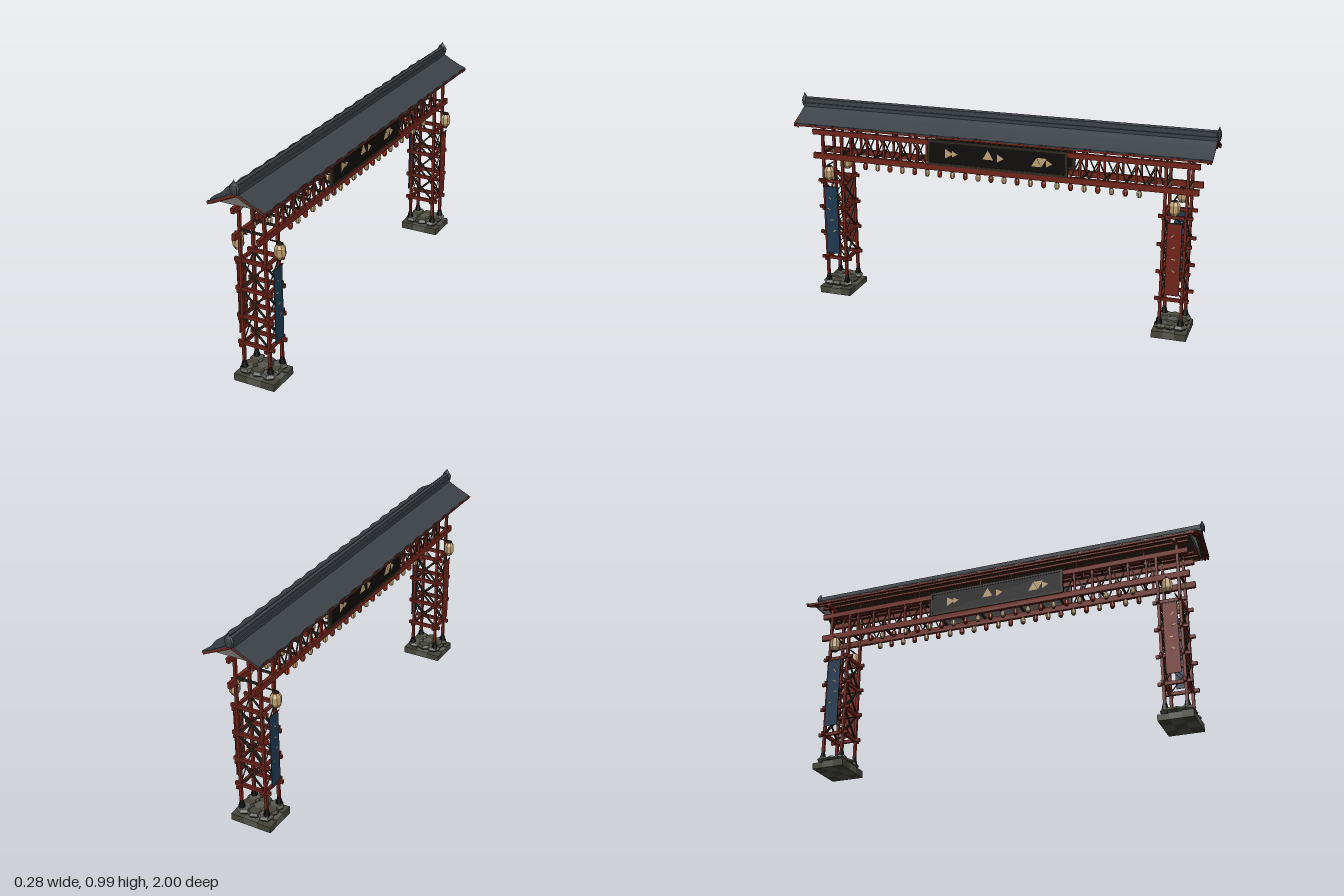
import * as THREE from 'three';

const mat = (name, color) => Object.assign(new THREE.MeshStandardMaterial({ color, flatShading: true }), { name });

export function createModel() {
  const M = {
    slate: mat('slate roof', 0x3b4146),
    red: mat('red timber', 0x702419),
    dark: mat('dark timber', 0x2e271e),
    stone: mat('stone', 0x585a51),
    darkStone: mat('dark stone', 0x45453a),
    cream: mat('cream paper', 0xbfa173),
    blue: mat('blue cloth', 0x1d3850),
    black: mat('black lacquer', 0x0c0a08),
    grey: mat('grey plaster', 0x70716c),
    orange: mat('orange paper', 0x963520),
  };
  const model = new THREE.Group();
  model.name = 'gate';

  const add = (parent, name, geo, m, x = 0, y = 0, z = 0) => {
    const mesh = new THREE.Mesh(geo, m);
    mesh.name = name;
    mesh.position.set(x, y, z);
    parent.add(mesh);
    return mesh;
  };
  const box = (parent, name, m, w, h, d, x, y, z) => add(parent, name, new THREE.BoxGeometry(w, h, d), m, x, y, z);
  // bar between two points, in the parent's own frame
  const up = new THREE.Vector3(0, 1, 0);
  const bar = (parent, name, m, a, b, w, h = w) => {
    const p = new THREE.Vector3(...a), q = new THREE.Vector3(...b);
    const mesh = box(parent, name, m, w, h, p.distanceTo(q), 0, 0, 0);
    mesh.position.copy(p).lerp(q, 0.5);
    mesh.quaternion.setFromRotationMatrix(new THREE.Matrix4().lookAt(q, p, up));
  };
  const group = (name, parent = model) => {
    const g = new THREE.Group();
    g.name = name;
    parent.add(g);
    return g;
  };
  let seed = 7;
  const rand = () => (seed = (seed * 16807) % 2147483647) / 2147483647;

  // paper lantern with dark caps, hung by its middle
  const lantern = (parent, m, r, h, x, y, z) => {
    const g = group('lantern', parent);
    const prof = [[0.6, -0.5], [1, -0.25], [1, 0.25], [0.6, 0.5]].map(([a, b]) => new THREE.Vector2(a * r, b * h));
    add(g, 'lanternBody', new THREE.LatheGeometry(prof, 8), m);
    for (const s of [-1, 1]) add(g, 'lanternCap', new THREE.CylinderGeometry(r * 0.6, r * 0.6, h * 0.06, 8), M.dark, 0, s * h * 0.5, 0);
    box(g, 'lanternCord', M.dark, 0.002, h * 0.2, 0.002, 0, h * 0.6, 0);
    g.position.set(x, y, z);
  };

  // ---- towers (the second is the first turned half round) ----
  for (const end of [0, 1]) {
    const t = group('tower');
    t.rotation.y = end * Math.PI;
    const zo = 0.875, zi = 0.777, zc = 0.828;

    // stacked foundation stones, the upper ones with a bulging six-sided outline
    const stoneProfile = [[0, -0.012], [0.027, -0.012], [0.037, 0], [0.028, 0.012], [0, 0.012]].map(p => new THREE.Vector2(...p));
    for (let i = 0; i < 3; i++) for (let j = 0; j < 3; j++) {
      const h = 0.028 + rand() * 0.008;
      box(t, 'foundationStone', (i + j) % 2 ? M.stone : M.darkStone, 0.066, h, 0.053, (i - 1) * 0.066, h / 2, zc + (j - 1) * 0.053);
      const upper = add(t, 'plinthStone', new THREE.LatheGeometry(stoneProfile, 6), (i + j) % 2 ? M.darkStone : M.stone, (i - 1) * 0.054, 0.05, zc + (j - 1) * 0.042);
      upper.rotation.y = rand() * 3;
    }
    for (const sx of [-1, 1]) {
      // posts and their flared shoes
      bar(t, 'outerPost', M.red, [sx * 0.064, 0.06, zo], [sx * 0.058, 0.852, zo], 0.013);
      bar(t, 'innerPost', M.red, [sx * 0.064, 0.06, zi], [sx * 0.058, 0.81, zi], 0.013);
      for (const z of [zo, zi]) add(t, 'postShoe', new THREE.CylinderGeometry(0.006, 0.017, 0.044, 6), M.black, sx * 0.064, 0.08, z);
      // lantern arm and big lantern
      box(t, 'lanternArm', M.dark, 0.06, 0.005, 0.005, sx * 0.085, 0.668, zc);
      lantern(t, M.cream, 0.025, 0.064, sx * 0.1, 0.628, zc);
      // hanging banner with light marks
      const b = group('banner', t);
      box(b, 'bannerCloth', sx > 0 ? M.blue : M.red, 0.003, 0.34, 0.066, sx * 0.088, 0.382, 0.831);
      box(b, 'bannerRod', M.dark, 0.005, 0.005, 0.08, sx * 0.088, 0.552, 0.831);
      for (let k = 0; k < 4; k++) {
        const mark = box(b, 'bannerMark', M.cream, 0.005, 0.005, 0.016, sx * 0.088, 0.33 + k * 0.055, 0.831 + (rand() - 0.5) * 0.03);
        mark.rotation.x = 0.6 - k * 0.5;
      }
    }
    // ties, pale lashings and cross braces
    const levels = [0.18, 0.31, 0.44, 0.573];
    levels.forEach((y, i) => {
      for (const z of [zo, zi]) {
        box(t, 'crossTie', M.red, 0.176, 0.017, 0.012, 0, y, z);
        for (const x of [-0.058, 0.058]) box(t, 'lashing', M.cream, 0.008, 0.008, 0.016, x, y, z);
      }
      for (const x of [-0.061, 0.061]) box(t, 'sideTie', M.red, 0.012, 0.015, 0.155, x, y, zc);
      if (!i) return;
      const a = levels[i - 1] + 0.012, b = y - 0.012;
      for (const s of [-1, 1]) {
        for (const z of [zo, zi]) bar(t, 'brace', M.dark, [-s * 0.053, a, z], [s * 0.053, b, z], 0.007);
        for (const x of [-0.061, 0.061]) bar(t, 'sideBrace', M.dark, [x, a, zc - s * 0.045], [x, b, zc + s * 0.045], 0.004);
      }
    });
    for (const z of [zo, zi]) {
      box(t, 'upperTie', M.dark, 0.11, 0.009, 0.009, 0, 0.71, z);
      box(t, 'topTie', M.dark, 0.11, 0.006, 0.008, 0, 0.825, z);
      for (const x of [-0.047, 0.047]) for (const y of [0.69, 0.812]) {
        add(t, 'kneeBracket', new THREE.CylinderGeometry(0.008, 0.002, 0.026, 5), M.cream, x, y, z);
      }
    }
    box(t, 'tieBeam', M.red, 0.21, 0.012, 0.014, 0, 0.852, zo);
  }

  // ---- bridge between the towers, both sides ----
  for (const s of [0, 1]) {
    const g = group('bridgeSide');
    g.rotation.y = s * Math.PI;
    box(g, 'upperBeam', M.red, 0.016, 0.024, 1.85, 0.058, 0.812, 0);
    box(g, 'lowerBeam', M.red, 0.016, 0.028, 1.85, 0.058, 0.695, 0);
    box(g, 'wallPlate', M.red, 0.014, 0.01, 1.86, 0.058, 0.86, 0);
    for (const e of [-1, 1]) {
      for (let k = 0; k < 5; k++) {
        const z = e * (0.39 + k * 0.085);
        bar(g, 'trussPost', M.red, [0.058, 0.7, z], [0.058, 0.81, z], 0.01);
        for (const d of [-0.042, 0.042]) bar(g, 'trussBrace', M.dark, [0.058, 0.71, z + d], [0.058, 0.8, z], 0.005);
      }
    }
    // row of small lanterns
    for (let k = 0; k < 22; k++) {
      lantern(g, k % 2 ? M.orange : M.cream, 0.012, 0.03, 0.05, 0.66, -0.66 + k * 0.0629);
    }
    // hanging board with abstract gilt shapes
    const p = group('board', g);
    box(p, 'boardPanel', M.black, 0.01, 0.11, 0.65, 0.064, 0.768, 0);
    for (const y of [0.713, 0.823]) box(p, 'boardRail', M.dark, 0.014, 0.012, 0.67, 0.064, y, 0);
    for (const z of [-0.33, 0.33]) box(p, 'boardStile', M.dark, 0.014, 0.12, 0.012, 0.064, 0.768, z);
    for (const [z, y, r, turn] of [[0.235, 0.768, 0.027, 0], [0.205, 0.768, 0.018, 0], [0.04, 0.772, 0.03, 1.57], [-0.015, 0.768, 0.022, 0], [-0.19, 0.76, 0.027, 1.57], [-0.215, 0.775, 0.027, 0.5], [-0.245, 0.765, 0.02, 0]]) {
      const shape = add(p, 'giltShape', new THREE.CircleGeometry(r, 3), M.cream, 0.0705, y, z);
      shape.rotation.set(0, Math.PI / 2, turn);
    }
  }
  for (let k = -7; k <= 7; k++) {
    box(model, 'floorTie', M.dark, 0.11, 0.009, 0.009, 0, 0.71, k * 0.1);
    box(model, 'ceilingTie', M.dark, 0.11, 0.006, 0.008, 0, 0.825, k * 0.1);
  }
  for (const z of [-0.72, -0.4, -0.08, 0.08, 0.4, 0.72]) {
    for (const x of [-0.058, 0.058]) box(model, 'strut', M.red, 0.006, 0.04, 0.006, x, 0.842, z);
  }

  // ---- roof ----
  const roof = group('roof');
  const curve = [[0, 0.932], [0.05, 0.904], [0.095, 0.882], [0.131, 0.867]];
  const slab = (name, m, drop, thick, length, wave) => {
    const line = [...curve.slice(1).reverse().map(([x, y]) => [-x, y]), ...curve];
    const pts = [...line.map(([x, y]) => new THREE.Vector2(x, y - drop)), ...line.reverse().map(([x, y]) => new THREE.Vector2(x, y - drop - thick))];
    const geo = new THREE.ExtrudeGeometry(new THREE.Shape(pts), { depth: length, steps: wave ? 140 : 1, bevelEnabled: false });
    geo.translate(0, 0, -length / 2);
    const a = geo.attributes.position;
    // gently rippled eaves
    if (wave) for (let i = 0; i < a.count; i++) {
      const x = a.getX(i);
      if (Math.abs(x) > 0.12) a.setX(i, x + Math.sign(x) * wave * Math.sin(a.getZ(i) * 62));
    }
    geo.computeVertexNormals();
    add(roof, name, geo, m);
  };
  slab('roofTiles', M.slate, 0, 0.006, 1.97, 0.004);
  slab('roofBoards', M.dark, 0.0062, 0.003, 1.94, 0);
  for (const sx of [-1, 1]) {
    for (let k = -12; k <= 12; k++) bar(roof, 'rafter', M.red, [0, 0.918, k * 0.078], [sx * 0.128, 0.855, k * 0.078], 0.008);
    box(roof, 'eaveBoard', M.red, 0.006, 0.009, 1.96, sx * 0.129, 0.858, 0);
    box(roof, 'purlin', M.red, 0.009, 0.009, 1.88, sx * 0.095, 0.862, 0);
    for (const sz of [-1, 1]) {
      bar(roof, 'bargeboard', M.red, [0, 0.918, sz * 0.978], [sx * 0.135, 0.856, sz * 0.978], 0.008, 0.014);
      bar(roof, 'lowerBargeboard', M.red, [0, 0.908, sz * 0.965], [sx * 0.13, 0.85, sz * 0.965], 0.007, 0.008);
    }
  }
  // plastered gables and ridge finials
  for (const sz of [-1, 1]) {
    const tri = new THREE.Shape([[-0.105, 0.858], [0.105, 0.858], [0, 0.906]].map(p => new THREE.Vector2(...p)));
    const geo = new THREE.ExtrudeGeometry(tri, { depth: 0.008, bevelEnabled: false });
    add(roof, 'gable', geo, M.grey, 0, 0, sz * 0.95 - 0.004);
    const prof = [[0.015, 0.922], [0.02, 0.932], [0.024, 0.95], [0.018, 0.963], [0.007, 0.974], [0, 0.986]];
    const finial = new THREE.LatheGeometry(prof.map(p => new THREE.Vector2(...p)), 8);
    finial.scale(1, 1, 0.48);
    add(roof, 'ridgeFinial', finial, M.slate, 0, 0, sz * 0.988);
  }
  box(roof, 'ridgeBase', M.slate, 0.036, 0.018, 1.97, 0, 0.929, 0);
  box(roof, 'ridgeWall', M.slate, 0.022, 0.022, 1.97, 0, 0.946, 0);
  const cap = add(roof, 'ridgeCap', new THREE.CylinderGeometry(0.012, 0.012, 1.98, 6), M.slate, 0, 0.954, 0);
  cap.rotation.x = Math.PI / 2;
  return model;
}
